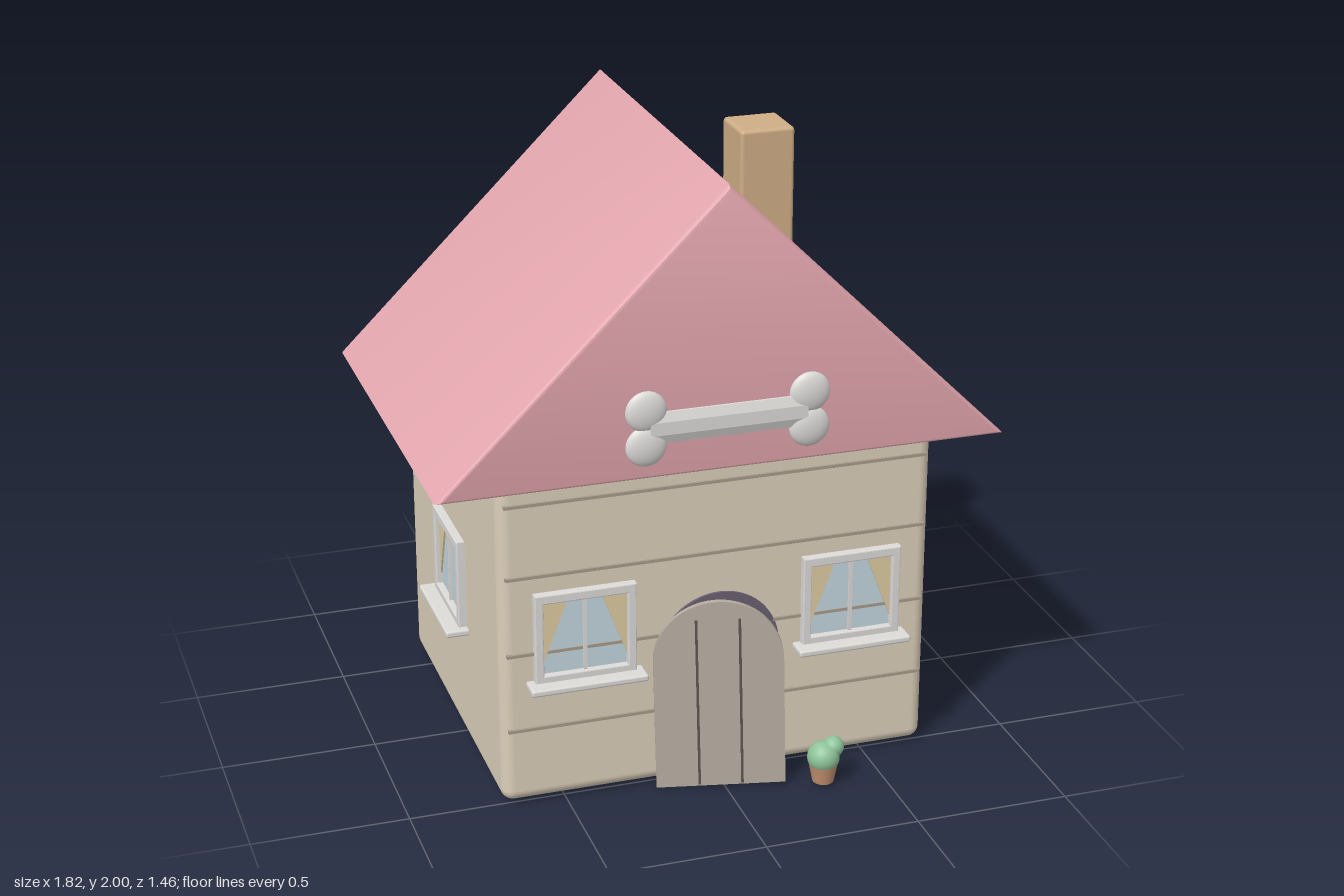
import * as THREE from 'three';
import { RoundedBoxGeometry } from 'three/addons/geometries/RoundedBoxGeometry.js';
import { toCreasedNormals } from 'three/addons/utils/BufferGeometryUtils.js';

const mat = (color) => new THREE.MeshStandardMaterial({ color });
const M = {
  wall: mat(0xdccfba), seam: mat(0xa79c8b), roof: mat(0xe3a6ae), chimney: mat(0xcfae86),
  white: mat(0xdddbd8), glass: mat(0xc3d5de), curtain: mat(0xdfcda2), door: mat(0xb7aca1),
  dark: mat(0x6b6071), groove: mat(0x5c544d), pot: mat(0xc4926f), leaf: mat(0x8fc49a),
};

function add(parent, name, geometry, material, x = 0, y = 0, z = 0) {
  const mesh = new THREE.Mesh(geometry, material);
  mesh.name = name;
  mesh.position.set(x, y, z);
  parent.add(mesh);
  return mesh;
}

const polygon = (...pts) => new THREE.Shape(pts.map(([x, y]) => new THREE.Vector2(x, y)));
const rect = (w, h) => polygon([-w / 2, -h / 2], [w / 2, -h / 2], [w / 2, h / 2], [-w / 2, h / 2]);

// Round-topped outline standing on y = 0
function archShape(radius, straight) {
  const s = new THREE.Shape();
  s.moveTo(-radius, 0);
  s.lineTo(radius, 0);
  s.lineTo(radius, straight);
  s.absarc(0, straight, radius, 0, Math.PI, false);
  s.closePath();
  return s;
}

// Window facing +z, with its back on the wall at z = 0
function makeWindow(name) {
  const g = new THREE.Group();
  g.name = name;
  const frame = rect(0.32, 0.3);
  frame.holes.push(rect(0.276, 0.25));
  add(g, 'windowFrame', new THREE.ExtrudeGeometry(frame, {
    depth: 0.025, bevelEnabled: true, bevelThickness: 0.004, bevelSize: 0.004, bevelOffset: -0.001, bevelSegments: 2,
  }), M.white);
  add(g, 'windowGlass', new THREE.BoxGeometry(0.285, 0.26, 0.016), M.glass);
  for (const s of [-1, 1]) {
    const pts = [[s * 0.14, 0.127], [s * 0.14, -0.1], [s * 0.053, 0.127]];
    if (s > 0) pts.reverse();
    add(g, 'curtain', new THREE.ExtrudeGeometry(polygon(...pts), { depth: 0.006, bevelEnabled: false }),
      M.curtain, 0, 0, 0.008);
  }
  add(g, 'windowBar', new THREE.BoxGeometry(0.011, 0.255, 0.012), M.white, 0, 0, 0.012);
  add(g, 'windowSill', new RoundedBoxGeometry(0.375, 0.022, 0.08, 2, 0.007), M.white, 0, -0.155, 0.036);
  return g;
}

export function createModel() {
  const house = new THREE.Group();
  house.name = 'house';

  // Walls
  add(house, 'walls', new RoundedBoxGeometry(1.41, 1.15, 1.18, 4, 0.04), M.wall, 0, 0.59, -0.06);
  for (const y of [0.27, 0.53, 0.79, 1.03])
    add(house, 'wallSeam', new THREE.BoxGeometry(1.37, 0.01, 0.02), M.seam, 0, y, 0.528);

  // Gabled roof
  const b = 0.018;
  const roof = new THREE.ExtrudeGeometry(polygon([-0.91, 1.1], [0.91, 1.1], [0, 2]), {
    depth: 1.34 - 2 * b, bevelEnabled: true, bevelThickness: b, bevelSize: b, bevelOffset: -b, bevelSegments: 3,
  });
  add(house, 'roof', toCreasedNormals(roof, 0.6), M.roof, 0, 0, -0.73 + b);
  add(house, 'chimney', new RoundedBoxGeometry(0.185, 0.6, 0.185, 3, 0.013), M.chimney, 0.412, 1.6, -0.298);

  // Bone ornament on the gable
  const bone = new THREE.Group();
  bone.name = 'bone';
  bone.position.set(0, 1.265, 0.61);
  bone.scale.z = 0.38;
  house.add(bone);
  const shaft = add(bone, 'boneShaft', new THREE.CylinderGeometry(0.054, 0.054, 0.5, 8), M.white);
  shaft.geometry.rotateY(Math.PI / 8).rotateZ(Math.PI / 2);
  shaft.geometry = toCreasedNormals(shaft.geometry, 0.5);
  for (const x of [-0.26, 0.26])
    for (const y of [-0.056, 0.056])
      add(bone, 'boneKnob', new THREE.SphereGeometry(0.065, 32, 20), M.white, x, y, 0);

  // Windows on the front and both sides
  for (const s of [-1, 1]) {
    const front = makeWindow('frontWindow');
    front.position.set(s * 0.437, 0.58, 0.528);
    const side = makeWindow('sideWindow');
    side.position.set(s * 0.703, 0.58, -0.058);
    side.rotation.y = s * Math.PI / 2;
    house.add(front, side);
  }

  // Dark doorway with a door standing ajar, hinged on the right
  add(house, 'doorway', new THREE.ExtrudeGeometry(archShape(0.2, 0.44), {
    depth: 0.02, bevelEnabled: false, curveSegments: 24,
  }), M.dark, 0, 0.012, 0.518);
  const door = new THREE.Group();
  door.name = 'door';
  door.position.set(-0.205, 0.002, 0.535);
  door.rotation.set(0, -0.26, 0.025);
  house.add(door);
  const leaf = new THREE.ExtrudeGeometry(archShape(0.205, 0.44), { depth: 0.018, bevelEnabled: false, curveSegments: 24 });
  add(door, 'doorLeaf', toCreasedNormals(leaf, 0.6), M.door, 0.205, 0, 0);
  for (const x of [0.137, 0.273])
    add(door, 'doorGroove', new THREE.BoxGeometry(0.008, 0.58, 0.004), M.groove, x, 0.295, 0.018);

  // Potted plant
  const plant = new THREE.Group();
  plant.name = 'plant';
  plant.position.set(0.305, 0, 0.68);
  house.add(plant);
  add(plant, 'pot', new THREE.CylinderGeometry(0.047, 0.034, 0.066, 24), M.pot, 0, 0.043, 0);
  add(plant, 'largeLeafBall', new THREE.SphereGeometry(0.052, 24, 16), M.leaf, 0, 0.095, 0);
  add(plant, 'smallLeafBall', new THREE.SphereGeometry(0.034, 24, 16), M.leaf, 0.033, 0.126, 0);

  return house;
}
